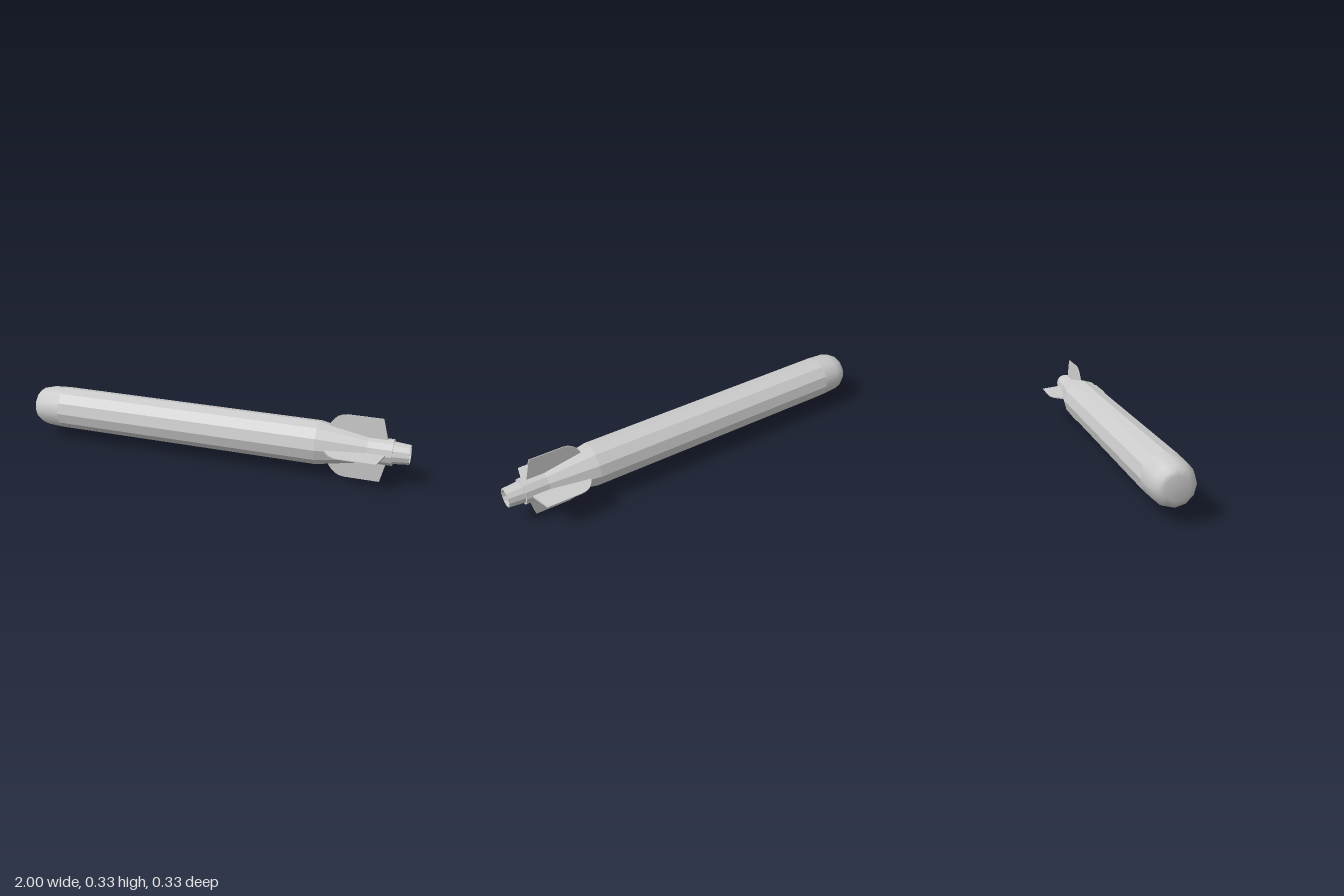
import * as THREE from 'three';

const SIDES = 12;
const AXIS_Y = 0.167;
const material = new THREE.MeshStandardMaterial({ color: 0xcccccc });

// Turned part lying along x; profile is a list of [x, radius], from nose to tail
function turned(name, profile, faceted) {
  const points = profile.map(([x, r]) => new THREE.Vector2(r, x));
  let geometry = new THREE.LatheGeometry(points, SIDES).rotateZ(-Math.PI / 2);
  if (faceted) {
    geometry = geometry.toNonIndexed();
    geometry.computeVertexNormals();
  }
  const mesh = new THREE.Mesh(geometry, material);
  mesh.name = name;
  return mesh;
}

// Upright fin with a rounded leading corner, thinning toward its tip
function finGeometry() {
  const shape = new THREE.Shape();
  shape.moveTo(0.6, 0.05);
  shape.lineTo(0.6, 0.092);
  shape.bezierCurveTo(0.615, 0.13, 0.645, 0.166, 0.69, 0.166);
  shape.lineTo(0.863, 0.166);
  shape.lineTo(0.888, 0.065);
  shape.lineTo(0.888, 0.05);
  const geometry = new THREE.ExtrudeGeometry(shape, { depth: 2, bevelEnabled: false, curveSegments: 5 });
  geometry.translate(0, 0, -1);
  const p = geometry.attributes.position;
  for (let i = 0; i < p.count; i++) {
    const t = (p.getY(i) - 0.05) / 0.116;
    p.setZ(i, p.getZ(i) * THREE.MathUtils.lerp(0.007, 0.0022, t));
  }
  geometry.computeVertexNormals();
  return geometry;
}

export function createModel() {
  const model = new THREE.Group();
  model.name = 'torpedo';

  const assembly = new THREE.Group();
  assembly.name = 'hullAssembly';
  assembly.position.y = AXIS_Y;
  model.add(assembly);

  // Smooth blunt nose
  assembly.add(turned('nose', [
    [-1, 0], [-1, 0.055], [-0.987, 0.078], [-0.963, 0.095], [-0.925, 0.105], [-0.84, 0.11],
  ], false));

  // Faceted hull with tapered tail and collar
  assembly.add(turned('hull', [
    [-0.84, 0.11], [0.553, 0.11], [0.8, 0.065], [0.92, 0.065], [0.92, 0.055],
  ], true));

  // Nozzle with a recessed end
  assembly.add(turned('nozzle', [
    [0.92, 0.055], [1, 0.048], [1, 0.042], [0.96, 0.042], [0.96, 0],
  ], true));

  // Four tail fins
  const geometry = finGeometry();
  ['topFin', 'frontFin', 'bottomFin', 'backFin'].forEach((name, i) => {
    const fin = new THREE.Mesh(geometry, material);
    fin.name = name;
    fin.rotation.x = i * Math.PI / 2;
    assembly.add(fin);
  });

  return model;
}
